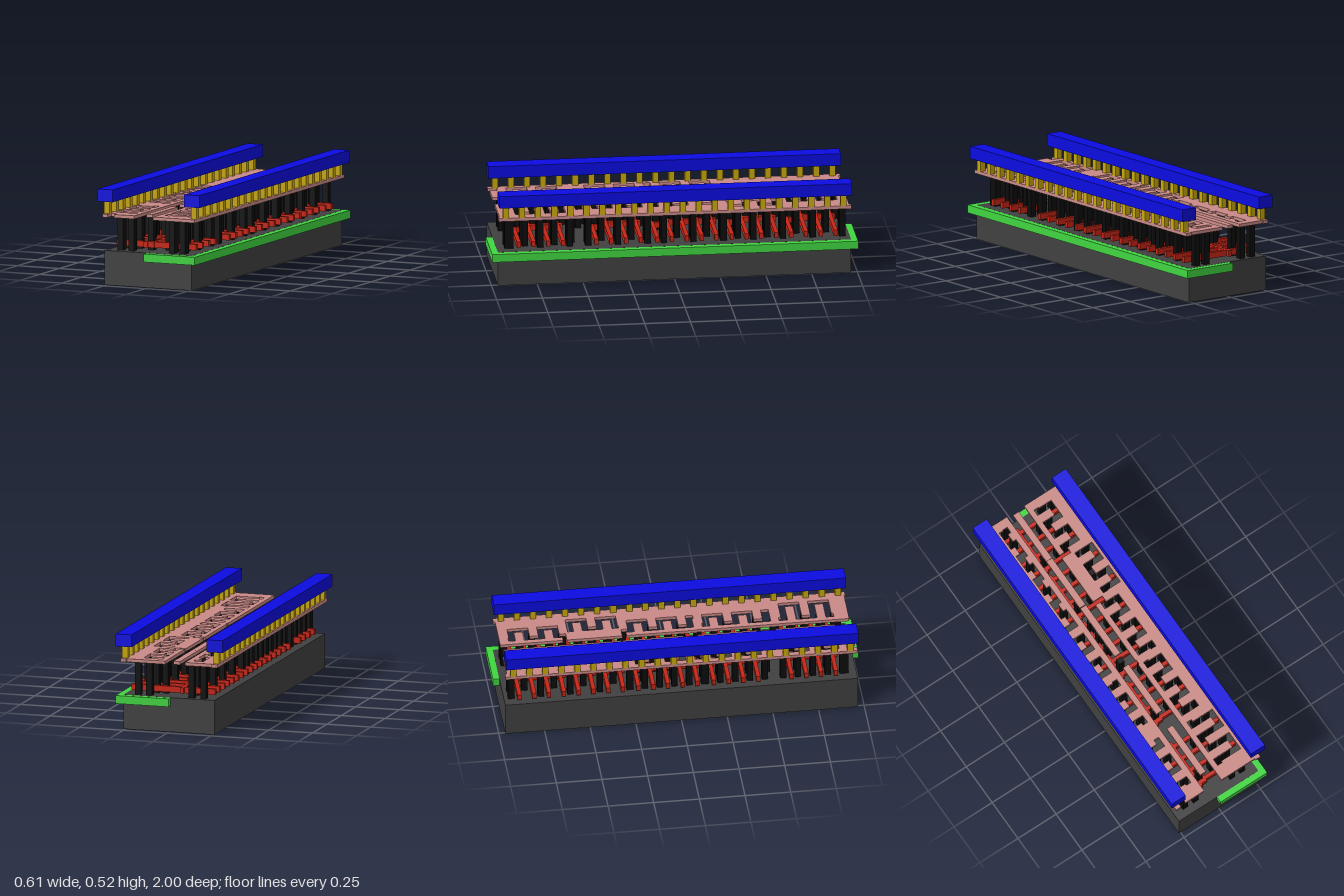
import * as THREE from 'three';

const PITCH = 0.081;      // spacing of the gate fingers along z
const PINK = [0.37, 0.388];
const RED = [0.205, 0.238];
const BLACK = [0.19, 0.37];

export function createModel() {
  const model = new THREE.Group();
  model.name = 'chipLayout';

  // One coloured group per layer; every part is an axis-aligned block
  function layer(name, color) {
    const group = new THREE.Group();
    group.name = name;
    model.add(group);
    const material = new THREE.MeshStandardMaterial({ color });
    return (part, [x0, x1], [y0, y1], [z0, z1]) => {
      const mesh = new THREE.Mesh(new THREE.BoxGeometry(x1 - x0, y1 - y0, z1 - z0), material);
      mesh.position.set((x0 + x1) / 2, (y0 + y1) / 2, (z0 + z1) / 2);
      mesh.name = part;
      group.add(mesh);
    };
  }
  const substrate = layer('substrate', 0x404040);
  const well = layer('well', 0x40d440);
  const gates = layer('gateLayer', 0xc82516);
  const contacts = layer('contacts', 0x0c0c0c);
  const local = layer('localWiring', 0xc98a86);
  const vias = layer('vias', 0xc8a80c);
  const rails = layer('powerRails', 0x0b0bdf);

  const contact = (x, z) =>
    contacts('contact', [x - 0.0165, x + 0.0165], BLACK, [z - 0.0165, z + 0.0165]);
  const wire = (part, x, z) => local(part, x, PINK, z);

  // Base block and the well set into its top
  substrate('substrateBlock', [-0.26, 0.26], [0, 0.19], [-0.965, 0.965]);
  well('wellSlab', [-0.01, 0.295], [0.145, 0.1896], [-1, 1]);

  // Power rails, the wires below them and the vias between
  for (const side of [-1, 1]) {
    const span = (a, b) => (side < 0 ? [-b, -a] : [a, b]);
    rails('powerRail', span(0.214, 0.305), [0.455, 0.523], [-0.965, 0.962]);
    wire('railWire', span(0.244, 0.276), [-0.965, 0.962]);
    for (let i = 0; i < 22; i++) {
      const z = -0.922 + i * 0.0878;
      vias('via', span(0.244, 0.276), [0.388, 0.455], [z - 0.016, z + 0.016]);
    }
  }

  // Spine beside the left transistor row
  wire('leftSpine', [-0.12, -0.088], [-0.955, 0.955]);

  // Gate groups: first gate z, count, left rail edge, right spine edge, right rail edge
  const groups = [
    { z: -0.884, n: 4, left: -0.175, spine: 0.055, right: 0.165 },
    { z: -0.56, n: 4, left: -0.175, spine: 0.1, right: 0.213 },
    { z: -0.233, n: 5, left: -0.245, spine: 0.055, right: 0.165 },
    { z: 0.18, n: 4, left: -0.245, spine: 0.055, right: 0.165 },
    { z: 0.605, n: 4, left: -0.245, spine: 0.055, right: 0.213 },
  ];
  groups.forEach(({ z, n, left, spine, right }, g) => {
    const zEnd = z + (n - 1) * PITCH;
    const span = [z - 0.05, zEnd + 0.05];

    // Gate fingers joined by a strap with a landing pad
    for (let i = 0; i < n; i++) {
      const zg = z + i * PITCH;
      gates('gateFinger', [-0.24, 0.238], RED, [zg - 0.011, zg + 0.011]);
    }
    gates('gateStrap', [-0.067, -0.045], RED, [z - 0.03, zEnd + 0.03]);
    gates('gatePad', [-0.067, -0.01], RED, [zEnd - 0.04, zEnd + 0.02]);

    // Input wire over the strap
    wire('inputWire', [-0.055, -0.018], [z - 0.06, zEnd - (g === 2 ? 0.05 : -0.02)]);
    contact(-0.039, zEnd - 0.02);
    if (g === 2) for (let i = 0; i < 3; i++) contact(-0.039, z + 0.02 + i * 0.081);

    // Rail and spine edges of this group
    if (left > -0.24) wire('leftRailEdge', [-0.25, left], span);
    wire('rightRailEdge', [right, 0.275], span);
    wire('rightSpine', [0.025, spine], [z - 0.03, zEnd + 0.03]);

    // Interleaved wiring fingers between the gates
    for (let i = 0; i <= n; i++) {
      const zr = z + (i - 0.5) * PITCH;
      const zs = [zr - 0.024, zr + 0.024];
      if (i % 2 === 0) {
        wire('leftTap', [-0.26, -0.15], zs);
        wire('rightTap', [spine + 0.03, 0.26], zs);
        contact(-0.188, zr);
        contact(0.121, zr);
        contact(0.185, zr);
      } else {
        wire('leftFinger', [left + 0.035, -0.1], zs);
        wire('rightFinger', [0.03, right - 0.032], zs);
        contact(-0.12, zr);
        if (left < -0.2) contact(-0.188, zr);
        contact(0.056, zr);
        contact(0.107, zr);
        if (right > 0.2) contact(0.155, zr);
      }
    }
  });

  // Plain wiring between the last two groups
  wire('leftBridge', [-0.25, -0.1], [0.455, 0.56]);
  wire('rightBridge', [0.165, 0.26], [0.46, 0.56]);
  wire('rightBridgeFinger', [0.055, 0.2], [0.53, 0.575]);
  wire('rightBridgeSpine', [0.025, 0.055], [0.44, 0.6]);
  contact(-0.12, 0.485);
  contact(0.121, 0.55);

  // Wide wiring closing both ends
  wire('leftBackEnd', [-0.25, -0.09], [-0.955, -0.905]);
  wire('rightBackEnd', [0.025, 0.26], [-0.955, -0.905]);
  wire('leftFrontEnd', [-0.21, -0.088], [0.875, 0.955]);
  wire('rightFrontEnd', [0.025, 0.26], [0.875, 0.955]);
  for (const z of [-0.925, 0.905])
    for (const x of [-0.188, -0.12, 0.121, 0.185]) contact(x, z);

  return model;
}
